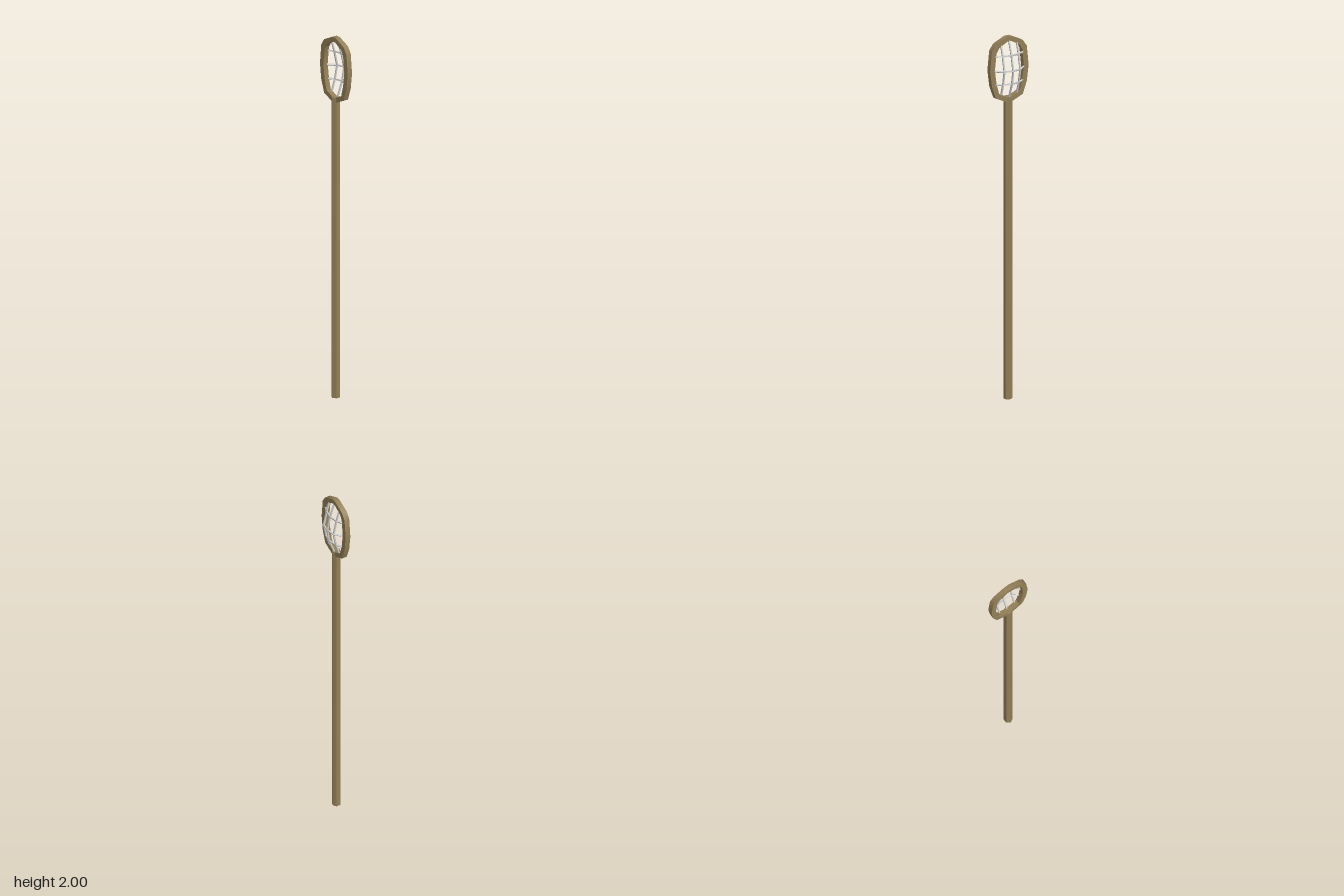
import * as THREE from 'three';
import { toCreasedNormals } from 'three/addons/utils/BufferGeometryUtils.js';

const wood = new THREE.MeshStandardMaterial({ color: 0x937f57 });
const cord = new THREE.MeshStandardMaterial({ color: 0xcccccc });

// closed counter-clockwise outline from its +x half, listed bottom to top
function mirrored(half) {
  const left = half.slice().reverse().map(([x, y]) => [-x, y]);
  return [...half, ...left].map(([x, y]) => new THREE.Vector2(x, y));
}

// a chain of thin square rods through the given points
function stringThrough(points, name) {
  const group = new THREE.Group();
  group.name = name;
  for (let i = 0; i < points.length - 1; i++) {
    const a = new THREE.Vector3(...points[i]);
    const dir = new THREE.Vector3(...points[i + 1]).sub(a);
    const rod = new THREE.Mesh(new THREE.BoxGeometry(0.008, dir.length() + 0.002, 0.008), cord);
    rod.name = 'stringSegment';
    rod.position.copy(a).addScaledVector(dir, 0.5);
    rod.quaternion.setFromUnitVectors(new THREE.Vector3(0, 1, 0), dir.normalize());
    group.add(rod);
  }
  return group;
}

export function createModel() {
  const model = new THREE.Group();
  model.name = 'netStick';

  // six-sided shaft with an edge facing forward
  const shaft = new THREE.Mesh(
    toCreasedNormals(new THREE.CylinderGeometry(0.024, 0.024, 1.665, 6), 0.5), wood);
  shaft.name = 'shaft';
  shaft.position.set(0, 0.8325, 0.0178);
  model.add(shaft);

  // oval head frame with softly shaded rim
  const outline = new THREE.Shape(mirrored([
    [0.014, 1.639], [0.082, 1.67], [0.106, 1.738], [0.117, 1.825],
    [0.106, 1.932], [0.082, 1.967], [0.014, 1.999]]));
  outline.holes.push(new THREE.Path(mirrored([
    [0.012, 1.666], [0.062, 1.69], [0.078, 1.75], [0.088, 1.825],
    [0.078, 1.918], [0.061, 1.946], [0.012, 1.973]])));
  const frame = new THREE.Mesh(toCreasedNormals(
    new THREE.ExtrudeGeometry(outline, { depth: 0.029, bevelEnabled: false }), 0.75), wood);
  frame.name = 'headFrame';
  frame.position.z = 0.002;
  model.add(frame);

  // net bulging backwards: knots lie on a 3 x 3 grid, ends are buried in the frame
  const net = new THREE.Group();
  net.name = 'net';
  const xs = [-0.048, 0, 0.048];
  const ys = [1.9, 1.82, 1.745];
  const depth = [[-0.011, -0.02, -0.011], [-0.029, -0.038, -0.029], [-0.014, -0.025, -0.014]];
  const knot = (row, col) => [xs[col], ys[row], depth[row][col]];
  const ends = [[1.958, 1.682], [1.977, 1.662], [1.958, 1.682]];
  const reach = [0.085, 0.088, 0.082];
  for (let i = 0; i < 3; i++) {
    const [top, bottom] = ends[i];
    net.add(stringThrough([[xs[i], top, 0.006], knot(0, i), knot(1, i), knot(2, i),
      [xs[i], bottom, 0.006]], 'verticalString'));
    net.add(stringThrough([[-reach[i], ys[i], 0.006], knot(i, 0), knot(i, 1), knot(i, 2),
      [reach[i], ys[i], 0.006]], 'crossString'));
  }
  model.add(net);
  return model;
}
